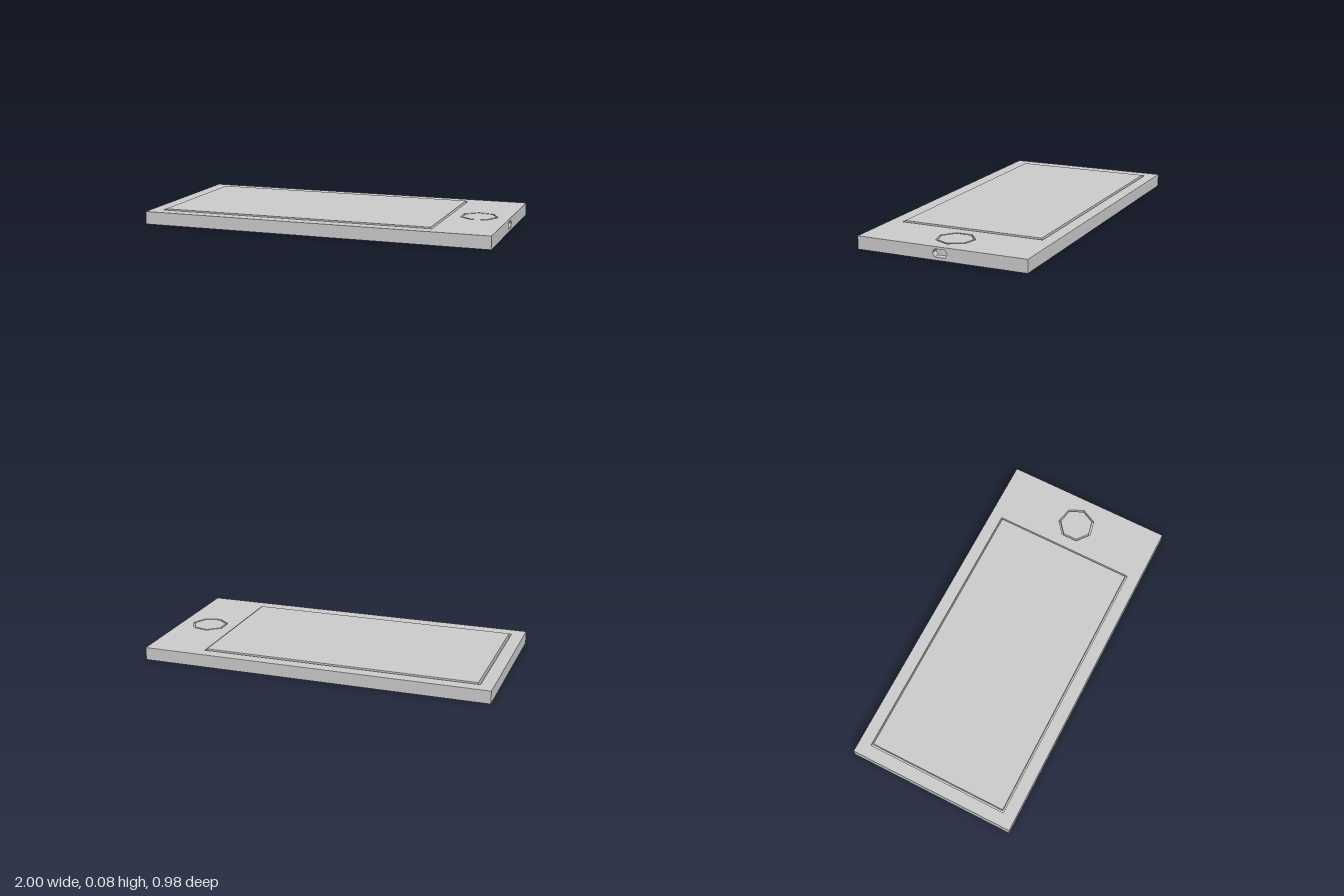
import * as THREE from 'three';
import { mergeGeometries } from 'three/addons/utils/BufferGeometryUtils.js';

const LENGTH = 2, WIDTH = 0.98, HEIGHT = 0.073, POCKET = 0.022;
const material = new THREE.MeshStandardMaterial({ color: 0xcccccc, flatShading: true });

// Counter-clockwise outlines
const rect = (x0, y0, x1, y1) => [[x0, y0], [x1, y0], [x1, y1], [x0, y1]].map(p => new THREE.Vector2(...p));
const polygon = (cx, cy, r, n) => Array.from({ length: n }, (_, i) => {
  const a = i / n * Math.PI * 2;
  return new THREE.Vector2(cx + r * Math.cos(a), cy + r * Math.sin(a));
});

// Flat panel facing +z, with holes cut through it
function panel(outline, holes = []) {
  const shape = new THREE.Shape(outline);
  holes.forEach(h => shape.holes.push(new THREE.Path(h)));
  const g = new THREE.ShapeGeometry(shape).toNonIndexed();
  g.deleteAttribute('uv');
  return g;
}

// Recess behind a hole: inward-facing walls and a floor
function pocket(outline, depth) {
  const pos = [];
  outline.forEach((a, i) => {
    const b = outline[(i + 1) % outline.length];
    pos.push(a.x, a.y, 0, b.x, b.y, 0, a.x, a.y, -depth);
    pos.push(b.x, b.y, 0, b.x, b.y, -depth, a.x, a.y, -depth);
  });
  const walls = new THREE.BufferGeometry();
  walls.setAttribute('position', new THREE.Float32BufferAttribute(pos, 3));
  walls.computeVertexNormals();
  return mergeGeometries([walls, panel(outline).translate(0, 0, -depth)]);
}

// Panel together with its recesses
const recessed = (outline, holes, depth) =>
  mergeGeometries([panel(outline, holes), ...holes.map(h => pocket(h, depth))]);

function createModel() {
  const model = new THREE.Group();
  model.name = 'handheldDevice';
  const add = (name, geometry) => {
    const mesh = new THREE.Mesh(geometry, material);
    mesh.name = name;
    model.add(mesh);
    return mesh;
  };
  const l = LENGTH / 2, w = WIDTH / 2, q = Math.PI / 2;

  // Casing: recesses for screen and button on top, port on the +x end
  const topFace = rect(-l, -w, l, w);
  const sideFace = rect(-l, 0, l, HEIGHT);
  const endFace = rect(-w, 0, w, HEIGHT);
  const screenSlot = rect(-0.927, -0.416, 0.664, 0.42);
  const buttonSlot = polygon(0.827, 0, 0.107, 7);
  const port = [[-0.043, 0.039], [-0.03, 0.017], [0.03, 0.017], [0.043, 0.039], [0.03, 0.06], [-0.03, 0.06]]
    .map(([x, y]) => new THREE.Vector2(x - 0.002, y));
  add('casing', mergeGeometries([
    recessed(topFace, [screenSlot, buttonSlot], POCKET).rotateX(-q).translate(0, HEIGHT, 0),
    panel(topFace).rotateX(q),
    panel(sideFace).translate(0, 0, w),
    panel(sideFace).rotateY(Math.PI).translate(0, 0, -w),
    recessed(endFace, [port], 0.04).rotateY(q).translate(l, 0, 0),
    panel(endFace).rotateY(-q).translate(-l, 0, 0),
  ]));

  // Screen slab stands slightly proud of the casing
  const floor = HEIGHT - POCKET, top = 0.079;
  add('screen', new THREE.BoxGeometry(1.568, top - floor, 0.816))
    .position.set(-0.13, (top + floor) / 2, -0.002);

  // Seven-sided button, flush with the casing
  const button = new THREE.ExtrudeGeometry(new THREE.Shape(polygon(0.827, 0, 0.096, 7)),
    { depth: POCKET, bevelEnabled: false });
  add('button', button.rotateX(-q).translate(0, floor, 0));

  return model;
}

export { createModel };
